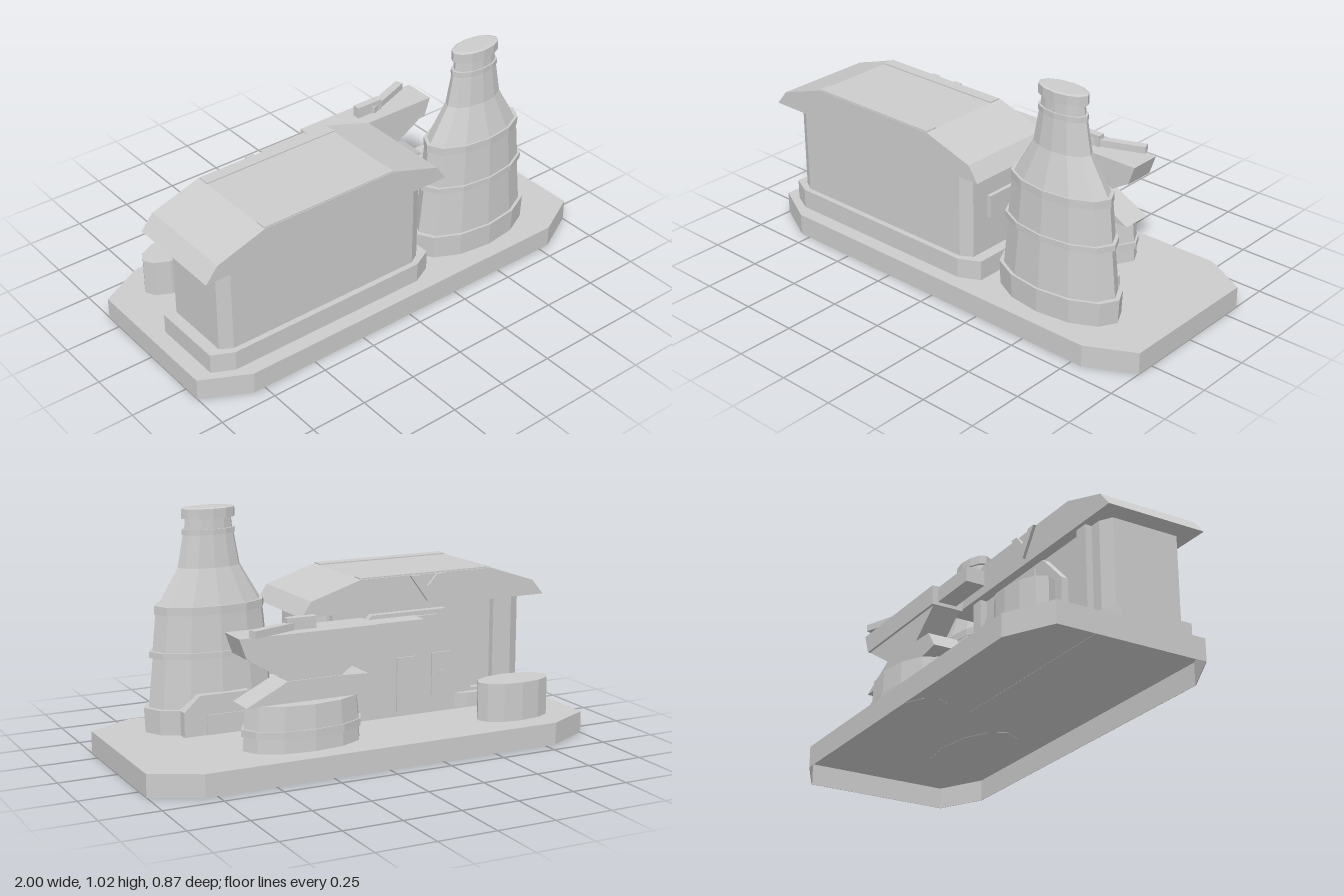
import * as THREE from 'three';

const stone = new THREE.MeshStandardMaterial({ color: 0xcccccc, flatShading: true, side: THREE.DoubleSide });
stone.name = 'plain grey';

function add(parent, name, geometry, x = 0, y = 0, z = 0) {
  const mesh = new THREE.Mesh(geometry, stone);
  mesh.name = name;
  mesh.position.set(x, y, z);
  parent.add(mesh);
  return mesh;
}

// Box given by its limits on each axis
function block(parent, name, [x0, x1], [y0, y1], [z0, z1]) {
  return add(parent, name, new THREE.BoxGeometry(x1 - x0, y1 - y0, z1 - z0),
    (x0 + x1) / 2, (y0 + y1) / 2, (z0 + z1) / 2);
}

const outline = (points) => new THREE.Shape(points.map(([x, y]) => new THREE.Vector2(x, y)));

// Side profile in x and y, pulled through a range of z
function slab(parent, name, points, z0, z1) {
  const geometry = new THREE.ExtrudeGeometry(outline(points), { depth: z1 - z0, bevelEnabled: false });
  return add(parent, name, geometry, 0, 0, z0);
}

// Rectangular plan with four cut corners
const chamferedPlan = ([x0, x1], [z0, z1], cx, cz) => outline([
  [x0 + cx, -z1], [x1 - cx, -z1], [x1, -z1 + cz], [x1, -z0 - cz],
  [x1 - cx, -z0], [x0 + cx, -z0], [x0, -z0 - cz], [x0, -z1 + cz],
]);

// Plan raised between two heights
function raise(parent, name, plan, [y0, y1]) {
  const geometry = new THREE.ExtrudeGeometry(plan, { depth: y1 - y0, bevelEnabled: false });
  return add(parent, name, geometry.rotateX(-Math.PI / 2), 0, y0, 0);
}

// Twelve-sided turned shape, squashed to half its depth
function ovalTurning(parent, name, profile, x, z, squash = 0.5) {
  const points = profile.map(([r, y]) => new THREE.Vector2(r, y));
  return add(parent, name, new THREE.LatheGeometry(points, 12).scale(1, 1, squash), x, 0, z);
}

// Base plate on a thin skirt, open underneath
function buildBase() {
  const base = new THREE.Group();
  base.name = 'base';
  const skirt = chamferedPlan([-1, 1], [-0.434, 0.434], 0.2, 0.105);
  skirt.holes.push(chamferedPlan([-0.998, 0.998], [-0.432, 0.432], 0.2, 0.105));
  raise(base, 'baseSkirt', skirt, [0, 0.095]);
  const plate = new THREE.ShapeGeometry(chamferedPlan([-1, 1], [-0.434, 0.434], 0.2, 0.105));
  add(base, 'basePlate', plate.rotateX(-Math.PI / 2), 0, 0.095, 0);
  return base;
}

function buildHall() {
  const hall = new THREE.Group();
  hall.name = 'hall';
  raise(hall, 'plinth', chamferedPlan([-0.93, 0.18], [-0.045, 0.37], 0.09, 0.045), [0.094, 0.182]);
  raise(hall, 'walls', chamferedPlan([-0.88, 0.13], [-0.015, 0.345], 0.05, 0.03), [0.18, 0.575]);

  // Roof with broken slopes and two ridge strips
  slab(hall, 'roof', [
    [-0.965, 0.573], [0.215, 0.573], [0.17, 0.639], [-0.06, 0.711], [-0.69, 0.711], [-0.91, 0.639],
  ], -0.062, 0.383);
  for (const z of [-0.055, 0.328]) block(hall, 'roofStrip', [-0.69, -0.06], [0.708, 0.716], [z, z + 0.052]);

  // Rear entrance with cut upper corners
  slab(hall, 'entrance', [
    [-0.61, 0.095], [0, 0.095], [0, 0.42], [-0.12, 0.55], [-0.48, 0.55], [-0.61, 0.42],
  ], -0.046, -0.01);
  block(hall, 'tallDoor', [-0.33, -0.24], [0.12, 0.355], [-0.053, -0.045]);
  block(hall, 'shortDoor', [-0.5, -0.41], [0.17, 0.36], [-0.053, -0.045]);
  block(hall, 'doorHandle', [-0.47, -0.44], [0.25, 0.28], [-0.058, -0.052]);
  block(hall, 'entranceSign', [-0.43, -0.32], [0.465, 0.53], [-0.056, -0.045]);
  for (const x of [-0.78, 0.005]) block(hall, 'pilaster', [x, x + 0.06], [0.17, 0.575], [-0.045, -0.01]);
  ovalTurning(hall, 'step', [[0, 0.105], [0.095, 0.105], [0.095, 0.168], [0, 0.168]], -0.625, -0.045, 0.32);

  // Notched chevron at the eave
  slab(hall, 'eaveChevron', [
    [-0.375, 0.595], [-0.29, 0.71], [-0.33, 0.71], [-0.375, 0.66], [-0.42, 0.71], [-0.46, 0.71],
  ], -0.075, -0.06);

  block(hall, 'sidePanel', [0.125, 0.148], [0.335, 0.435], [0.075, 0.23]);
  return hall;
}

function buildTower() {
  const tower = new THREE.Group();
  tower.name = 'tower';
  ovalTurning(tower, 'towerShaft', [
    [0, 0.094], [0.295, 0.094], [0.3, 0.2], [0.278, 0.2],
    [0.256, 0.41], [0.272, 0.41], [0.272, 0.436], [0.256, 0.436],
    [0.24, 0.59], [0.245, 0.59], [0.245, 0.625], [0.228, 0.625],
    [0.138, 0.775], [0.113, 0.91], [0.118, 0.91], [0.118, 0.933], [0.106, 0.933],
    [0.102, 0.977], [0.118, 0.977], [0.118, 1.018], [0.1, 1.022], [0, 1.022],
  ], 0.508, 0.213);
  slab(tower, 'towerDoorway', [
    [0.33, 0.095], [0.69, 0.095], [0.69, 0.2], [0.62, 0.265], [0.4, 0.265], [0.33, 0.2],
  ], 0.057, 0.12);
  block(tower, 'towerDoor', [0.43, 0.59], [0.095, 0.18], [0.052, 0.06]);
  return tower;
}

function buildTurret() {
  const turret = new THREE.Group();
  turret.name = 'turret';
  ovalTurning(turret, 'turretDrum', [
    [0, 0.094], [0.262, 0.094], [0.258, 0.155], [0.268, 0.155], [0.268, 0.186],
    [0.258, 0.186], [0.248, 0.287], [0, 0.287],
  ], 0.29, -0.22);

  // Slanted pedestal under the head
  slab(turret, 'turretPedestal', [
    [0.05, 0.286], [0.56, 0.286], [0.38, 0.376], [0.16, 0.376], [0.02, 0.37], [-0.03, 0.3],
  ], -0.284, -0.15);
  slab(turret, 'turretNeck', [
    [0.14, 0.375], [0.38, 0.375], [0.56, 0.486], [-0.01, 0.486],
  ], -0.279, -0.157);
  slab(turret, 'turretHead', [
    [-0.02, 0.485], [0.56, 0.485], [0.59, 0.57], [-0.02, 0.57],
  ], -0.29, -0.146);
  block(turret, 'turretBarrel', [-0.25, -0.02], [0.5, 0.565], [-0.263, -0.178]);

  // Sight and angled arm on the head
  block(turret, 'sight', [0.23, 0.36], [0.57, 0.62], [-0.236, -0.203]);
  const arm = add(turret, 'sightArm', new THREE.BoxGeometry(0.25, 0.03, 0.035), 0.42, 0.585, -0.252);
  arm.rotation.y = 0.36;
  return turret;
}

export function createModel() {
  const model = new THREE.Group();
  model.name = 'outpost';
  model.add(buildBase(), buildHall(), buildTower(), buildTurret());

  // Round tank behind the hall
  ovalTurning(model, 'tank', [[0, 0.1], [0.17, 0.1], [0.17, 0.265], [0, 0.265]], -0.685, -0.265);

  // Lamp beside the entrance
  const lamp = new THREE.Group();
  lamp.name = 'lamp';
  ovalTurning(lamp, 'lampPole', [[0.01, 0.17], [0.01, 0.4], [0, 0.4]], 0, 0.005);
  ovalTurning(lamp, 'lampShade', [[0, 0.225], [0.045, 0.225], [0.045, 0.235], [0.012, 0.27], [0, 0.27]], 0, 0, 0.35);
  lamp.position.set(-0.025, 0, -0.058);
  model.add(lamp);
  return model;
}
